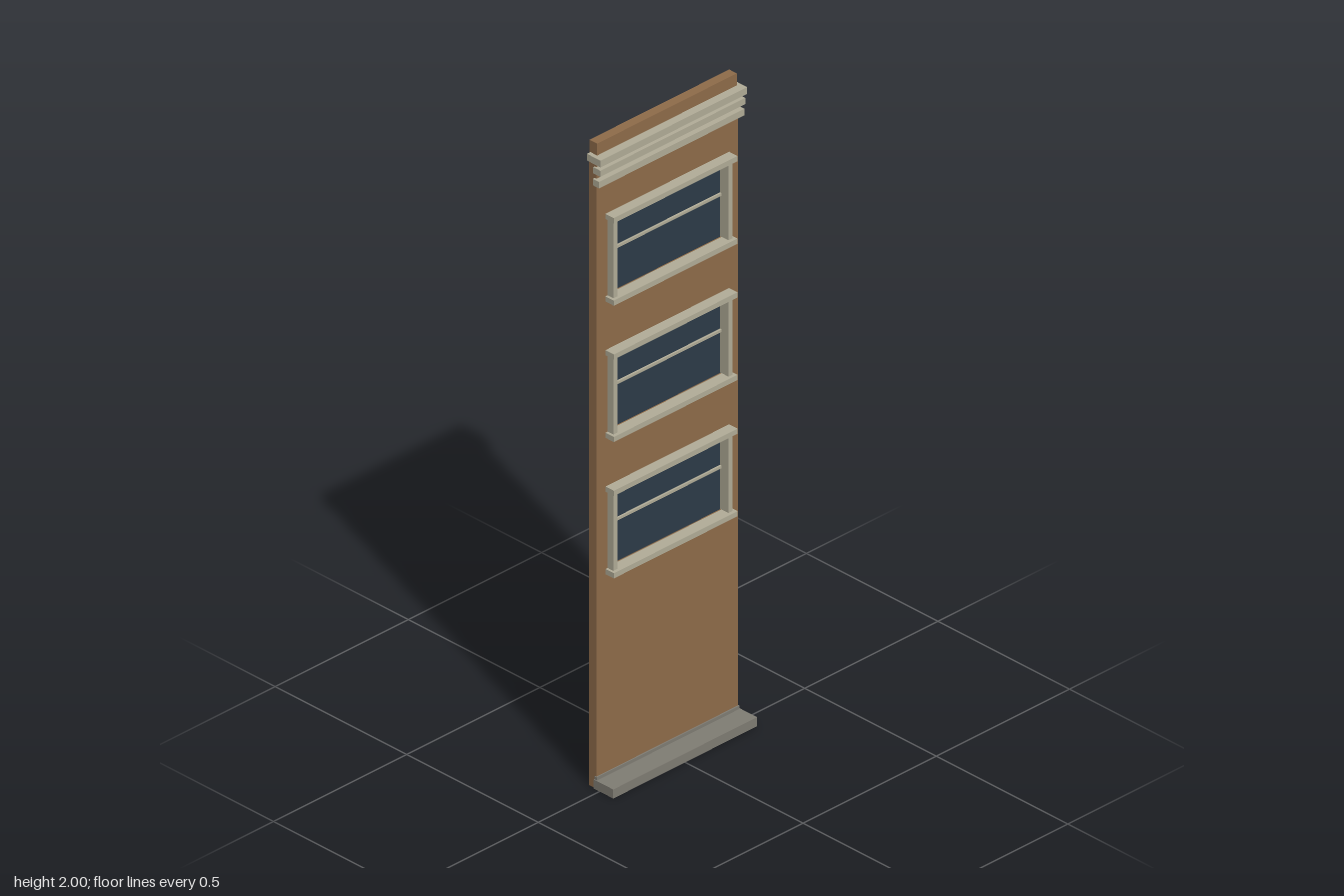
import * as THREE from 'three';

const mat = (name, color) => {
  const m = new THREE.MeshStandardMaterial({ color });
  m.name = name;
  return m;
};

export function createModel() {
  const brick = mat('brown wall', 0x8f6c4a);
  const trim = mat('cream trim', 0xb2ad98);
  const stone = mat('grey stone', 0x807d74);
  const glass = mat('dark blue glass', 0x2d3b48);
  const black = mat('black backing', 0x1c1c1c);

  const model = new THREE.Group();
  model.name = 'facadePanel';

  // Box given by its extents on each axis
  const box = (parent, name, material, [x0, x1], [y0, y1], [z0, z1]) => {
    const mesh = new THREE.Mesh(new THREE.BoxGeometry(x1 - x0, y1 - y0, z1 - z0), material);
    mesh.position.set((x0 + x1) / 2, (y0 + y1) / 2, (z0 + z1) / 2);
    mesh.name = name;
    parent.add(mesh);
  };
  const rect = (path, x, y0, y1) => {
    path.moveTo(-x, y0);
    path.lineTo(x, y0);
    path.lineTo(x, y1);
    path.lineTo(-x, y1);
    path.closePath();
    return path;
  };

  const windowCentres = [0.788, 1.211, 1.634];
  const halfHeight = 0.134;

  // Wall slab with window openings
  const outline = rect(new THREE.Shape(), 0.266, 0, 1.94);
  for (const y of windowCentres) {
    outline.holes.push(rect(new THREE.Path(), 0.21, y - 0.122, y + 0.122));
  }
  const wallGeometry = new THREE.ExtrudeGeometry(outline, { depth: 0.028, bevelEnabled: false });
  const wall = new THREE.Mesh(wallGeometry, brick);
  wall.position.z = -0.044;
  wall.name = 'wall';
  model.add(wall);

  // Parapet above the cornice
  box(model, 'parapet', brick, [-0.262, 0.262], [1.94, 2], [-0.046, -0.017]);

  // Cornice of three stepped bands
  const bands = [
    [0.275, 1.942, 1.963, -0.043, 0.009],
    [0.272, 1.91, 1.929, -0.022, 0.005],
    [0.273, 1.873, 1.893, -0.022, 0.001],
  ];
  for (const [x, y0, y1, z0, z1] of bands) {
    box(model, 'corniceBand', trim, [-x, x], [y0, y1], [z0, z1]);
  }

  // Base ledge
  box(model, 'plinth', stone, [-0.27, 0.27], [0, 0.028], [-0.022, 0.052]);
  box(model, 'plinthMoulding', stone, [-0.268, 0.268], [0.028, 0.038], [-0.022, -0.012]);

  // Windows: frame, glass, crossbar and rear backing
  for (const y of windowCentres) {
    const win = new THREE.Group();
    win.name = 'window';
    win.position.y = y;
    model.add(win);
    box(win, 'lintel', trim, [-0.232, 0.232], [halfHeight - 0.014, halfHeight + 0.002], [-0.02, 0.016]);
    box(win, 'sill', trim, [-0.232, 0.232], [-halfHeight - 0.002, -halfHeight + 0.014], [-0.02, 0.016]);
    for (const s of [-1, 1]) {
      const xs = [s * 0.208, s * 0.224].sort((a, b) => a - b);
      box(win, 'jamb', trim, xs, [-0.121, 0.121], [-0.03, 0.006]);
    }
    box(win, 'glass', glass, [-0.212, 0.212], [-0.124, 0.124], [-0.034, -0.026]);
    box(win, 'crossbar', trim, [-0.208, 0.208], [0.008, 0.016], [-0.027, -0.02]);
    box(win, 'backing', black, [-0.222, 0.222], [-halfHeight, halfHeight], [-0.054, -0.043]);
  }
  return model;
}
